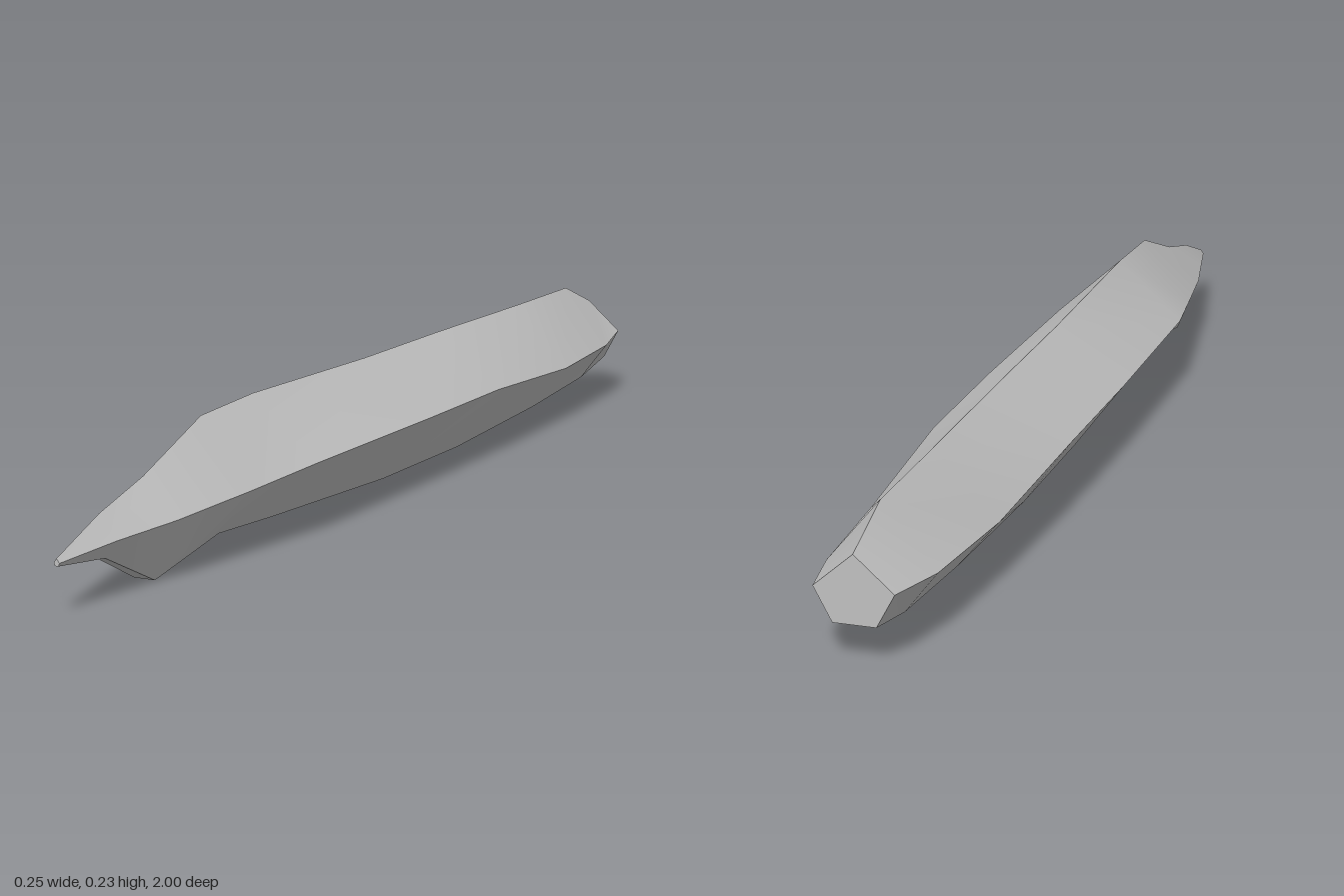
import * as THREE from 'three';
import { toCreasedNormals } from 'three/addons/utils/BufferGeometryUtils.js';

// Hull stations, nose to tail: z, ridge y, side x, side y, keel x, keel y
const stations = [
  [1.0, 0.09, 0.005, 0.083, 0.003, 0.078],
  [0.88, 0.133, 0.032, 0.094, 0.01, 0.064],
  [0.75, 0.165, 0.061, 0.101, 0.019, 0.0],
  [0.57, 0.228, 0.09, 0.113, 0.031, 0.037],
  [0.4, 0.234, 0.118, 0.127, 0.034, 0.028],
  [0.0, 0.225, 0.124, 0.127, 0.037, 0.011],
  [-0.3, 0.224, 0.122, 0.126, 0.038, 0.01],
  [-0.64, 0.22, 0.108, 0.106, 0.037, 0.023],
  [-0.88, 0.219, 0.09, 0.11, 0.036, 0.04],
  [-1.0, 0.175, 0.065, 0.118, 0.035, 0.062],
];

// Five-sided section, anticlockwise as seen from the front
const ring = ([z, ry, sx, sy, kx, ky]) => [
  [0, ry, z], [-sx, sy, z], [-kx, ky, z], [kx, ky, z], [sx, sy, z],
];

function loft(rows) {
  const rings = rows.map(ring);
  const pos = [];
  const tri = (a, b, c) => pos.push(...a, ...b, ...c);
  for (let i = 0; i < rings.length - 1; i++) {
    const f = rings[i], r = rings[i + 1];
    for (let j = 0; j < 5; j++) {
      const k = (j + 1) % 5;
      // Mirror the diagonal so both halves match
      if (j < 2) {
        tri(f[j], r[j], f[k]);
        tri(f[k], r[j], r[k]);
      } else {
        tri(f[j], r[k], f[k]);
        tri(f[j], r[j], r[k]);
      }
    }
  }
  // Nose and tail caps
  const nose = rings[0], tail = rings[rings.length - 1];
  for (let j = 1; j < 4; j++) {
    tri(nose[0], nose[j], nose[j + 1]);
    tri(tail[0], tail[j + 1], tail[j]);
  }
  const g = new THREE.BufferGeometry();
  g.setAttribute('position', new THREE.Float32BufferAttribute(pos, 3));
  return toCreasedNormals(g, 0.45);
}

export function createModel() {
  const group = new THREE.Group();
  const grey = new THREE.MeshStandardMaterial({ color: 0xc0c0c0 });
  grey.name = 'hull grey';
  const hull = new THREE.Mesh(loft(stations), grey);
  hull.name = 'hull';
  group.add(hull);
  return group;
}
